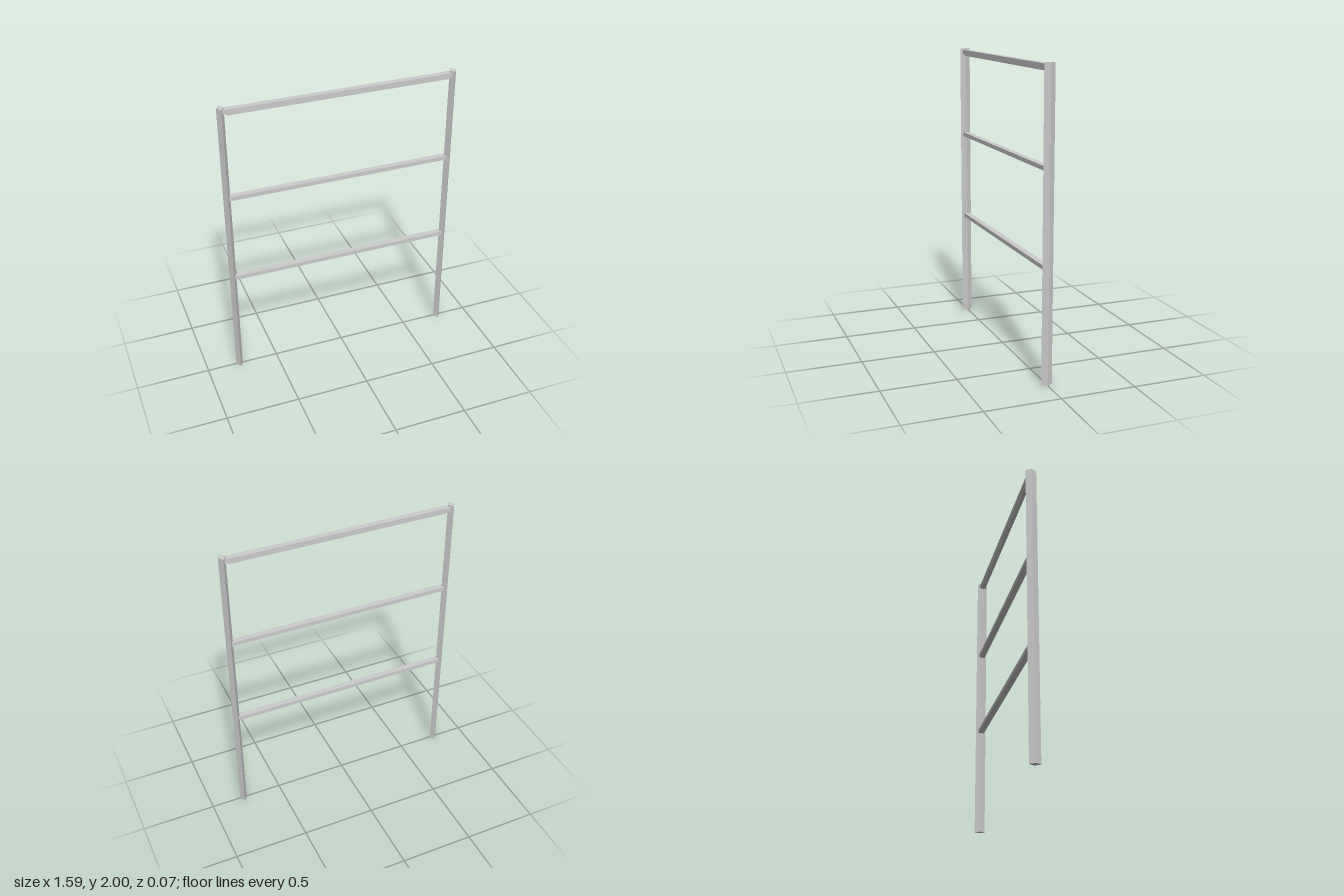
import * as THREE from 'three';

export function createModel() {
  const model = new THREE.Group();
  const material = new THREE.MeshStandardMaterial({ color: 0xcccccc, flatShading: true });

  const add = (name, geometry, x, y, z = 0) => {
    const mesh = new THREE.Mesh(geometry, material);
    mesh.name = name;
    mesh.position.set(x, y, z);
    model.add(mesh);
  };

  // Upright posts with a diamond cross-section
  const postGeometry = new THREE.CylinderGeometry(1, 1, 2, 4).scale(0.0235, 1, 0.036);
  add('leftPost', postGeometry, 0.773, 1);
  add('rightPost', postGeometry, -0.773, 1);

  // Horizontal rails running between the post centres
  const railGeometry = new THREE.BoxGeometry(1.546, 0.028, 0.04);
  const rails = { lowerRail: 0.754, middleRail: 1.37, topRail: 1.976 };
  for (const [name, y] of Object.entries(rails)) add(name, railGeometry, 0, y);

  // Shallow strip with slanted ends under the top rail
  const strip = new THREE.Shape([
    new THREE.Vector2(-0.755, 0.016),
    new THREE.Vector2(-0.735, 0),
    new THREE.Vector2(0.735, 0),
    new THREE.Vector2(0.755, 0.016),
  ]);
  const stripGeometry = new THREE.ExtrudeGeometry(strip, { depth: 0.024, bevelEnabled: false });
  add('topRailStrip', stripGeometry, 0, 1.948, -0.012);

  return model;
}
